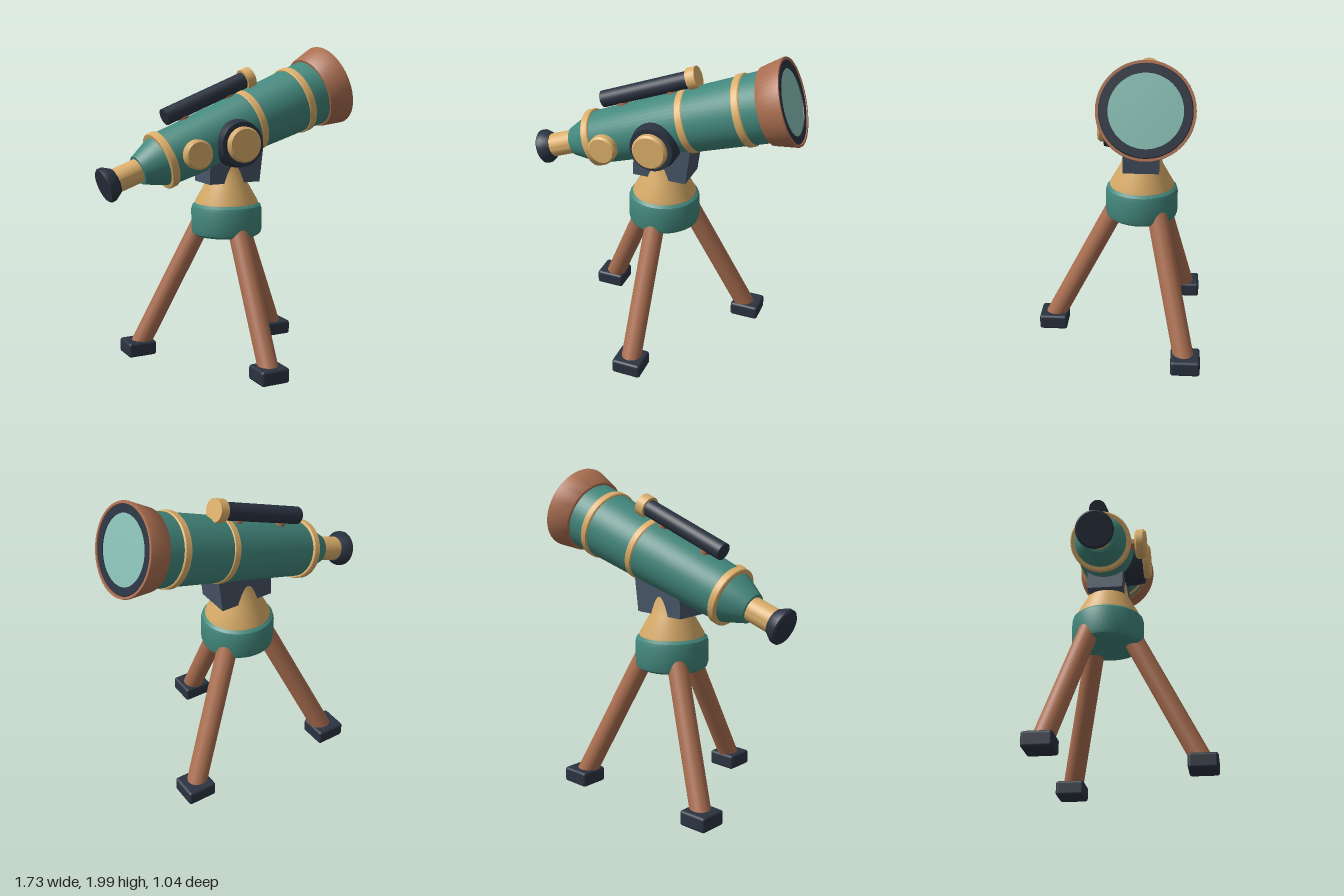
import * as THREE from 'three';
import { toCreasedNormals } from 'three/addons/utils/BufferGeometryUtils.js';
import { RoundedBoxGeometry } from 'three/addons/geometries/RoundedBoxGeometry.js';

const paint = (name, color) => {
  const m = new THREE.MeshStandardMaterial({ color });
  m.name = name;
  return m;
};

export function createModel() {
  const teal = paint('teal enamel', 0x43887d);
  const brass = paint('brass', 0xdbae6a);
  const copper = paint('copper', 0xab6f51);
  const dark = paint('dark navy', 0x2b3341);
  const slate = paint('slate', 0x475466);
  const glass = paint('lens glass', 0x86bcb2);

  const model = new THREE.Group();
  model.name = 'telescope';

  const add = (parent, name, geometry, material, x = 0, y = 0, z = 0) => {
    const mesh = new THREE.Mesh(geometry, material);
    mesh.name = name;
    mesh.position.set(x, y, z);
    parent.add(mesh);
    return mesh;
  };
  // Turned part from [radius, height] pairs, with crisp edges
  const turned = (points, segments = 48) => toCreasedNormals(
    new THREE.LatheGeometry(points.map(p => new THREE.Vector2(...p)), segments), 0.6);
  const turnedX = (points) => turned(points).rotateZ(-Math.PI / 2);
  const turnedZ = (points) => turned(points).rotateX(Math.PI / 2);
  // Closed cylinder with a small bevel, from a to b
  const disc = (r, a, b, e = 0.01) =>
    [[0, a], [r - e, a], [r, a + e], [r, b - e], [r - e, b], [0, b]];
  const rod = (parent, name, a, b, r, material) => {
    const dir = b.clone().sub(a);
    const mesh = add(parent, name, new THREE.CylinderGeometry(r, r, dir.length(), 32), material);
    mesh.position.copy(a).lerp(b, 0.5);
    mesh.quaternion.setFromUnitVectors(new THREE.Vector3(0, 1, 0), dir.normalize());
  };
  const V = (x, y, z) => new THREE.Vector3(x, y, z);

  // Tripod: top of leg, bottom of leg, foot centre
  const legs = [
    ['frontLeg', V(0, 0.89, 0.005), V(0, 0.05, 0.436), V(0, 0.05, 0.43)],
    ['leftLeg', V(0.13, 0.89, -0.237), V(0.502, 0.05, -0.431), V(0.505, 0.05, -0.435)],
    ['rightLeg', V(-0.13, 0.89, -0.237), V(-0.502, 0.05, -0.431), V(-0.505, 0.05, -0.435)],
  ];
  for (const [name, top, bottom, foot] of legs) {
    rod(model, name, top, bottom, 0.063, copper);
    add(model, name + 'Foot', new RoundedBoxGeometry(0.19, 0.095, 0.18, 3, 0.018),
      dark, foot.x, foot.y + 0.003, foot.z);
  }

  // Mount: hub, brass neck and cradle
  const baseZ = -0.14;
  add(model, 'tripodHub', turned([[0, 0.815], [0.2, 0.815], [0.218, 0.828], [0.225, 0.85],
    [0.225, 0.98], [0.218, 1.005], [0.2, 1.02], [0, 1.02]]), teal, 0, 0, baseZ);
  add(model, 'neck', turned([[0, 1.0], [0.2, 1.0], [0.2, 1.03], [0.13, 1.155],
    [0.11, 1.27], [0, 1.27]]), brass, 0, 0, baseZ);
  const side = new THREE.Shape([[-0.17, 1.155], [0.18, 1.155], [0.21, 1.4], [-0.16, 1.4]]
    .map(p => new THREE.Vector2(...p)));
  add(model, 'cradle', new THREE.ExtrudeGeometry(side, { depth: 0.22, bevelEnabled: false }),
    slate, 0, 0, baseZ - 0.11);

  // Pivot knob and focus knob on the front side
  add(model, 'pivotCollar', turnedZ([[0, -0.03], [0.15, -0.03], [0.15, 0.03], [0.138, 0.09],
    [0, 0.09]]), dark, 0, 1.41, 0);
  add(model, 'pivotKnob', turnedZ(disc(0.11, 0.08, 0.13, 0.012)), brass, 0, 1.41, 0);
  add(model, 'focusStem', turnedZ(disc(0.033, -0.06, 0.08, 0.002)), copper, -0.31, 1.365, 0);
  add(model, 'focusKnob', turnedZ(disc(0.09, 0.07, 0.135, 0.012)), brass, -0.31, 1.365, 0);

  // Optical tube, built along its own x axis
  const scope = new THREE.Group();
  scope.name = 'opticalTube';
  scope.position.set(0, 1.473, -0.148);
  scope.rotation.set(0, 0.053, 0.335, 'YZX');
  model.add(scope);

  add(scope, 'mainTube', turnedX([[0, -0.645], [0.092, -0.645], [0.157, -0.5],
    [0.168, -0.46], [0.216, 0.69], [0, 0.69]]), teal);
  for (const [name, s, r] of [['rearBand', -0.479, 0.182], ['middleBand', 0.174, 0.2],
    ['frontBand', 0.542, 0.22]]) {
    add(scope, name, turnedX(disc(r, s - 0.025, s + 0.025, 0.006)), brass);
  }
  add(scope, 'hood', turnedX([[0, 0.672], [0.228, 0.672], [0.234, 0.678], [0.266, 0.818],
    [0.264, 0.826], [0.25, 0.826], [0.25, 0.81], [0, 0.81]]), copper);
  add(scope, 'lensRing', turnedX([[0.25, 0.815], [0.245, 0.822], [0.2, 0.822], [0.2, 0.812]]), dark);
  add(scope, 'lens', turnedX([[0.2, 0.816], [0.1, 0.819], [0, 0.82]]), glass);
  add(scope, 'drawTube', turnedX(disc(0.075, -0.83, -0.62, 0.002)), brass);
  add(scope, 'eyepiece', turnedX([[0, -0.885], [0.1, -0.885], [0.109, -0.876], [0.109, -0.852],
    [0.08, -0.805], [0, -0.805]]), dark);

  // Finder scope on two small posts
  const finderAt = s => V(s, 0.242 + 0.028 * s, -0.026);
  rod(scope, 'finderTube', finderAt(-0.36), finderAt(0.26), 0.053, dark);
  rod(scope, 'finderCap', finderAt(0.235), finderAt(0.295), 0.069, brass);
  for (const s of [-0.24, 0.1]) {
    rod(scope, 'finderPost', V(s, 0.13, -0.02), finderAt(s), 0.033, copper);
  }
  return model;
}
